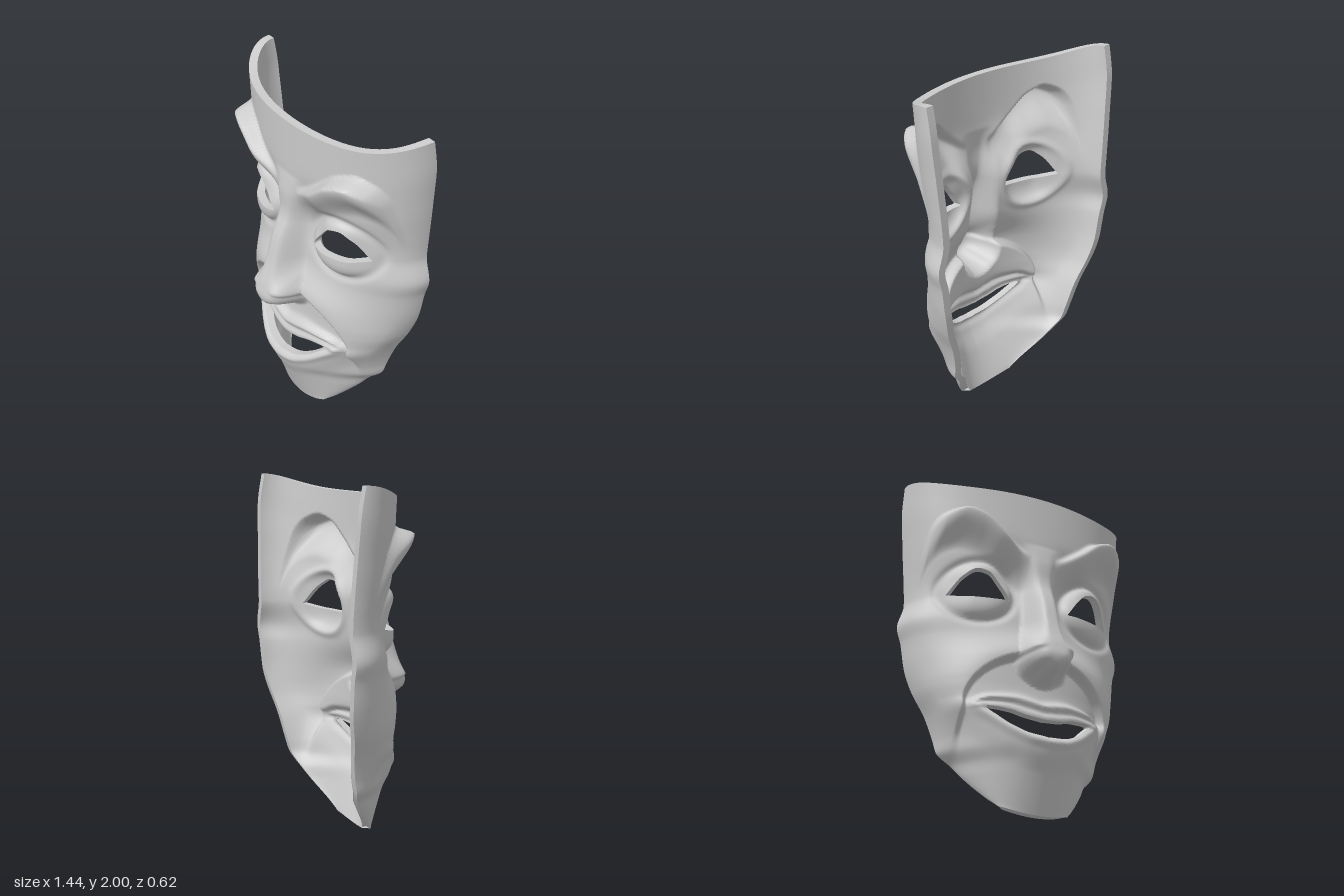
import * as THREE from 'three';

const COLS = 160, ROWS = 170, THICK = 0.047;
const step = (a, b, v) => THREE.MathUtils.smoothstep(v, a, b);
const bell = (v, s) => Math.exp(-(v * v) / (s * s));

// Smooth curve through [position, value] points, without overshoot
function curve(pts) {
  const n = pts.length;
  const slope = pts.slice(1).map((p, i) => (p[1] - pts[i][1]) / (p[0] - pts[i][0]));
  const m = pts.map((p, i) => {
    if (i === 0) return slope[0];
    if (i === n - 1) return slope[n - 2];
    const a = slope[i - 1], b = slope[i];
    return a * b <= 0 ? 0 : (2 * a * b) / (a + b);
  });
  return (v) => {
    if (v <= pts[0][0]) return pts[0][1];
    if (v >= pts[n - 1][0]) return pts[n - 1][1];
    let i = 0;
    while (v > pts[i + 1][0]) i++;
    const h = pts[i + 1][0] - pts[i][0], t = (v - pts[i][0]) / h, t2 = t * t, t3 = t2 * t;
    return (2 * t3 - 3 * t2 + 1) * pts[i][1] + (t3 - 2 * t2 + t) * h * m[i]
      + (3 * t2 - 2 * t3) * pts[i + 1][1] + (t3 - t2) * h * m[i + 1];
  };
}

// Overall shell: half width, edge depth and centre depth by height
const halfWidth = curve([[0, 0.21], [0.05, 0.26], [0.2, 0.365], [0.27, 0.41], [0.35, 0.485], [0.42, 0.5], [0.55, 0.54],
  [0.7, 0.61], [0.85, 0.655], [1, 0.68], [1.1, 0.705], [1.25, 0.67], [1.4, 0.68], [1.6, 0.7], [1.8, 0.72], [1.92, 0.72]]);
const edgeZ = curve([[0, 0.01], [0.05, -0.03], [0.2, -0.12], [0.35, -0.2], [0.6, -0.25], [0.85, -0.3], [1.25, -0.31],
  [1.75, -0.29], [1.92, -0.26]]);
const centreZ = curve([[0, 0.06], [0.2, 0.135], [0.35, 0.195], [0.5, 0.13], [0.6, 0.11], [0.72, 0.1], [0.9, 0.1],
  [1.1, 0.085], [1.3, 0.075], [1.5, 0.12], [1.65, 0.13], [1.92, 0.13]]);

// Openings, as upper and lower edges by distance from the middle
const eyeTop = curve([[0.18, 1.21], [0.25, 1.31], [0.32, 1.38], [0.38, 1.393], [0.45, 1.35], [0.525, 1.235]]);
const eyeLow = curve([[0.18, 1.222], [0.3, 1.208], [0.42, 1.212], [0.525, 1.238]]);
const mouthTop = curve([[0, 0.513], [0.1, 0.525], [0.2, 0.55], [0.3, 0.56], [0.34, 0.56]]);
const mouthLow = curve([[0, 0.4], [0.1, 0.412], [0.2, 0.455], [0.28, 0.518], [0.34, 0.565]]);
function solid(x, y) {
  const ax = Math.abs(x);
  const eye = Math.min(eyeTop(ax) - y, y - eyeLow(ax));
  const mouth = Math.min(mouthTop(ax) - y, y - mouthLow(ax));
  return -Math.max(eye, mouth);
}

// Facial features
const browLine = curve([[0.08, 1.53], [0.13, 1.555], [0.25, 1.635], [0.38, 1.735], [0.48, 1.765], [0.56, 1.735],
  [0.61, 1.67], [0.64, 1.5]]);
const browHeight = curve([[0.08, 0], [0.14, 0.035], [0.3, 0.085], [0.5, 0.115], [0.57, 0.1], [0.64, 0]]);
const noseHeight = curve([[0.715, 0], [0.745, 0.08], [0.77, 0.165], [0.8, 0.203], [0.84, 0.212], [0.9, 0.2],
  [1, 0.17], [1.2, 0.13], [1.4, 0.055], [1.6, 0]]);
const noseWidth = curve([[0.75, 0.145], [0.85, 0.155], [0.95, 0.145], [1.1, 0.125], [1.3, 0.115], [1.55, 0.16]]);
const lipTop = curve([[0, 0.612], [0.17, 0.638], [0.3, 0.63], [0.41, 0.59]]);
const lipLow = curve([[0, 0.345], [0.1, 0.357], [0.2, 0.4], [0.3, 0.47], [0.41, 0.56]]);
function relief(x, y) {
  const ax = Math.abs(x);
  let z = 0;
  // Brow: crisp above, soft below
  const d = browLine(ax) - y;
  z += browHeight(ax) * step(-0.01, 0.035, d) * (1 - step(0.04, 0.25, d));
  // Eye socket and lids
  z -= 0.04 * bell(ax - 0.19, 0.09) * bell(y - 1.42, 0.13);
  const e = Math.hypot((ax - 0.355) / 0.195, (y - 1.265) / 0.175);
  z += 0.055 * Math.max(0, 1 - e ** 4) * (1 - 0.6 * step(0.4, 0.54, ax)) - 0.012 * bell(e - 1.08, 0.12);
  // Nose: narrow bridge, rounded tip and wings, nostrils
  const ny = y - 3.5 * Math.min(ax, 0.16) ** 2 * (1 - step(0.8, 0.95, y));
  const r = Math.min(1, ax / noseWidth(y)), tip = 1 - step(0.85, 1.08, y);
  z += noseHeight(ny) * THREE.MathUtils.lerp(1 - step(0.25, 1, r), 1 - r ** 4, tip);
  z -= 0.03 * bell(Math.hypot(ax - 0.065, y - 0.775), 0.027);
  // Cheek standing out from the smile fold
  const q = Math.hypot(ax / 0.42, Math.max(0, y - 0.58) / 0.3);
  z += 0.065 * step(0.97, 1.07, q) * (q > 1.07 ? bell(q - 1.07, 0.45) : 1)
    * step(0.27, 0.6, y) * step(0.04, 0.16, ax) * (1 - step(0.85, 1.2, y));
  // Lips: two rolls above, one below, closing at the corners
  const lipFade = 1 - step(0.34, 0.43, ax), l = y - lipLow(ax);
  const u = (lipTop(ax) - y) / (lipTop(ax) - mouthTop(ax));
  z += lipFade * (0.04 * bell(u - 0.22, 0.28) + 0.028 * bell(u - 0.85, 0.28) + 0.02 * bell(l - 0.025, 0.026));
  return z;
}

// Point on the plain curved shell; a is the angle round it, h the height
function shellPoint(a, h) {
  const s = Math.sin(a), x = halfWidth(h) * s, ze = edgeZ(h);
  const y = h + 0.085 * Math.abs(s) ** 5 * step(1.5, 1.915, h) + 0.035 * s * s * (1 - step(0, 0.25, h));
  // The chin ledge climbs towards the mouth corners and the jaw is more pointed
  const lift = (lipLow(Math.abs(x)) - 0.345) * step(0, 0.3, h) * (1 - step(0.5, 0.75, h));
  const bend = Math.max(0, Math.cos(a)) ** (1.35 - 0.35 * step(0.45, 0.75, h));
  return new THREE.Vector3(x, y, ze + (centreZ(h - lift) - ze) * bend);
}
function facePoint(a, h) {
  const p = shellPoint(a, h);
  p.z += relief(p.x, p.y) * step(0, 0.35, Math.cos(a));
  return p;
}
function innerPoint(a, h) {
  const e = 0.002;
  const da = shellPoint(a + e, h).sub(shellPoint(a - e, h));
  const n = new THREE.Vector3(-da.z, 0, da.x).normalize();
  return facePoint(a, h).addScaledVector(n, -THICK);
}

// Grid of the face, trimmed along the openings
function trimmedGrid() {
  const params = [], keep = [], tris = [], cuts = new Map();
  const value = ([a, h]) => { const p = shellPoint(a, h); return solid(p.x, p.y); };
  for (let j = 0; j <= ROWS; j++) for (let i = 0; i <= COLS; i++) {
    params.push([(i / COLS - 0.5) * Math.PI, (1.915 * j) / ROWS]);
    keep.push(value(params[params.length - 1]) > 0);
  }
  const cut = (p, q) => {
    const key = Math.min(p, q) + '_' + Math.max(p, q);
    if (!cuts.has(key)) {
      let inn = params[keep[p] ? p : q], out = params[keep[p] ? q : p];
      for (let k = 0; k < 10; k++) {
        const mid = [(inn[0] + out[0]) / 2, (inn[1] + out[1]) / 2];
        if (value(mid) > 0) inn = mid; else out = mid;
      }
      cuts.set(key, params.push(inn) - 1);
    }
    return cuts.get(key);
  };
  const addTriangle = (t) => {
    const poly = [];
    t.forEach((p, k) => {
      const q = t[(k + 1) % 3];
      if (keep[p]) poly.push(p);
      if (keep[p] !== keep[q]) poly.push(cut(p, q));
    });
    for (let k = 2; k < poly.length; k++) tris.push([poly[0], poly[k - 1], poly[k]]);
  };
  for (let j = 0; j < ROWS; j++) for (let i = 0; i < COLS; i++) {
    const a = j * (COLS + 1) + i, b = a + 1, c = a + COLS + 1, d = c + 1;
    if (i < COLS / 2) { addTriangle([a, b, d]); addTriangle([a, d, c]); }
    else { addTriangle([a, b, c]); addTriangle([b, d, c]); }
  }
  return { params, tris };
}

function geometryFrom(points, index) {
  const g = new THREE.BufferGeometry().setFromPoints(points);
  if (index) g.setIndex(index);
  g.computeVertexNormals();
  return g;
}

export function createModel() {
  const { params, tris } = trimmedGrid();
  const front = params.map((p) => facePoint(...p));
  const back = params.map((p) => innerPoint(...p));

  // Rim walls along every open edge
  const edges = new Set();
  const eachEdge = (fn) => tris.forEach((t) => t.forEach((p, k) => fn(p, t[(k + 1) % 3])));
  eachEdge((p, q) => edges.add(p + '_' + q));
  const wall = [];
  eachEdge((p, q) => {
    if (!edges.has(q + '_' + p)) wall.push(front[q], front[p], back[p], front[q], back[p], back[q]);
  });

  const group = new THREE.Group();
  group.name = 'mask';
  const material = new THREE.MeshStandardMaterial({ color: 0xcccccc, side: THREE.DoubleSide });
  const add = (name, geometry) => {
    const mesh = new THREE.Mesh(geometry, material);
    mesh.name = name;
    group.add(mesh);
  };
  add('outerFace', geometryFrom(front, tris.flat()));
  add('innerFace', geometryFrom(back, tris.flatMap(([a, b, c]) => [a, c, b])));
  add('rim', geometryFrom(wall));
  return group;
}
